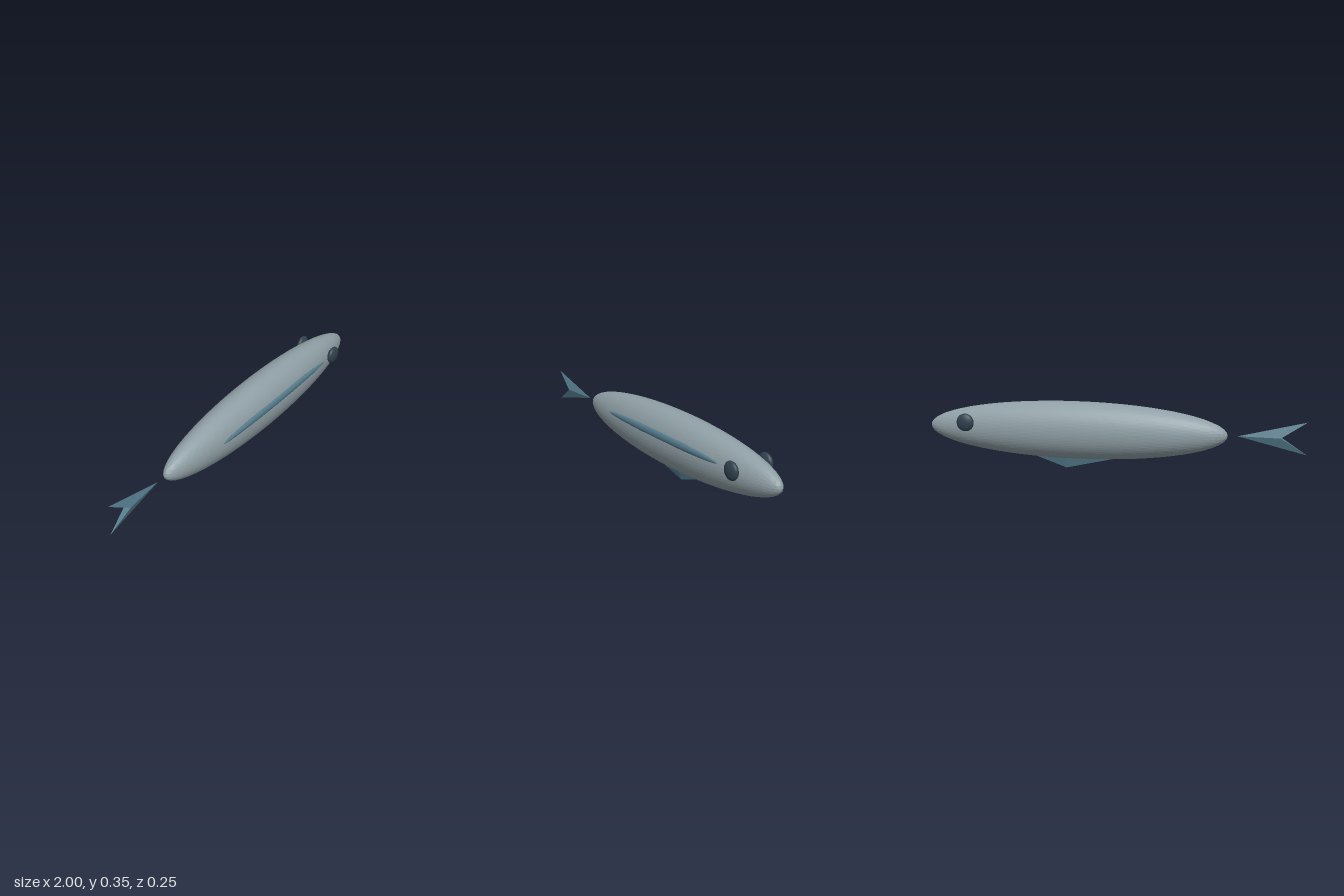
import * as THREE from 'three';
import { ConvexGeometry } from 'three/addons/geometries/ConvexGeometry.js';

const material = (name, color) => {
  const m = new THREE.MeshStandardMaterial({ color });
  m.name = name;
  return m;
};

export function createModel() {
  const group = new THREE.Group();
  group.name = 'fish';
  const skin = material('grey skin', 0x8f9fa5);
  const finBlue = material('fin blue', 0x557c8d);
  const eyeDark = material('dark eye', 0x2f404d);

  const add = (name, geometry, mat) => {
    const mesh = new THREE.Mesh(geometry, mat);
    mesh.name = name;
    group.add(mesh);
  };

  // Faceted ellipsoid
  const ellipsoid = (name, mat, center, radii, detail) => {
    const geometry = new THREE.IcosahedronGeometry(1, detail);
    geometry.scale(...radii).translate(...center);
    geometry.computeVertexNormals();
    add(name, geometry, mat);
  };

  // Solid fin spanned by its corner points
  const fin = (name, points) =>
    add(name, new ConvexGeometry(points.map((p) => new THREE.Vector3(...p))), finBlue);

  ellipsoid('body', skin, [0.195, 0.206, 0], [0.8, 0.151, 0.115], 9);
  ellipsoid('sideStripe', finBlue, [0.195, 0.245, 0.105], [0.467, 0.021, 0.0125], 7);

  for (const [name, side] of [['rightEye', -1], ['leftEye', 1]]) {
    ellipsoid(name, eyeDark, [0.763, 0.24, side * 0.101], [0.047, 0.047, 0.022], 6);
  }

  // Belly fin: pyramid pointing down, its diamond base sunk into the body
  fin('bellyFin', [
    [0.24, 0.003, 0],
    [-0.1, 0.08, 0], [0.467, 0.08, 0],
    [0.24, 0.08, 0.023], [0.24, 0.08, -0.023],
  ]);

  // Forked tail: two lobes sharing the tip and the notch
  for (const [name, y] of [['upperTailLobe', 0.29], ['lowerTailLobe', 0.124]]) {
    fin(name, [
      [-0.655, 0.207, 0], [-1, y, 0],
      [-0.87, 0.207, 0.018], [-0.87, 0.207, -0.018],
    ]);
  }

  return group;
}
